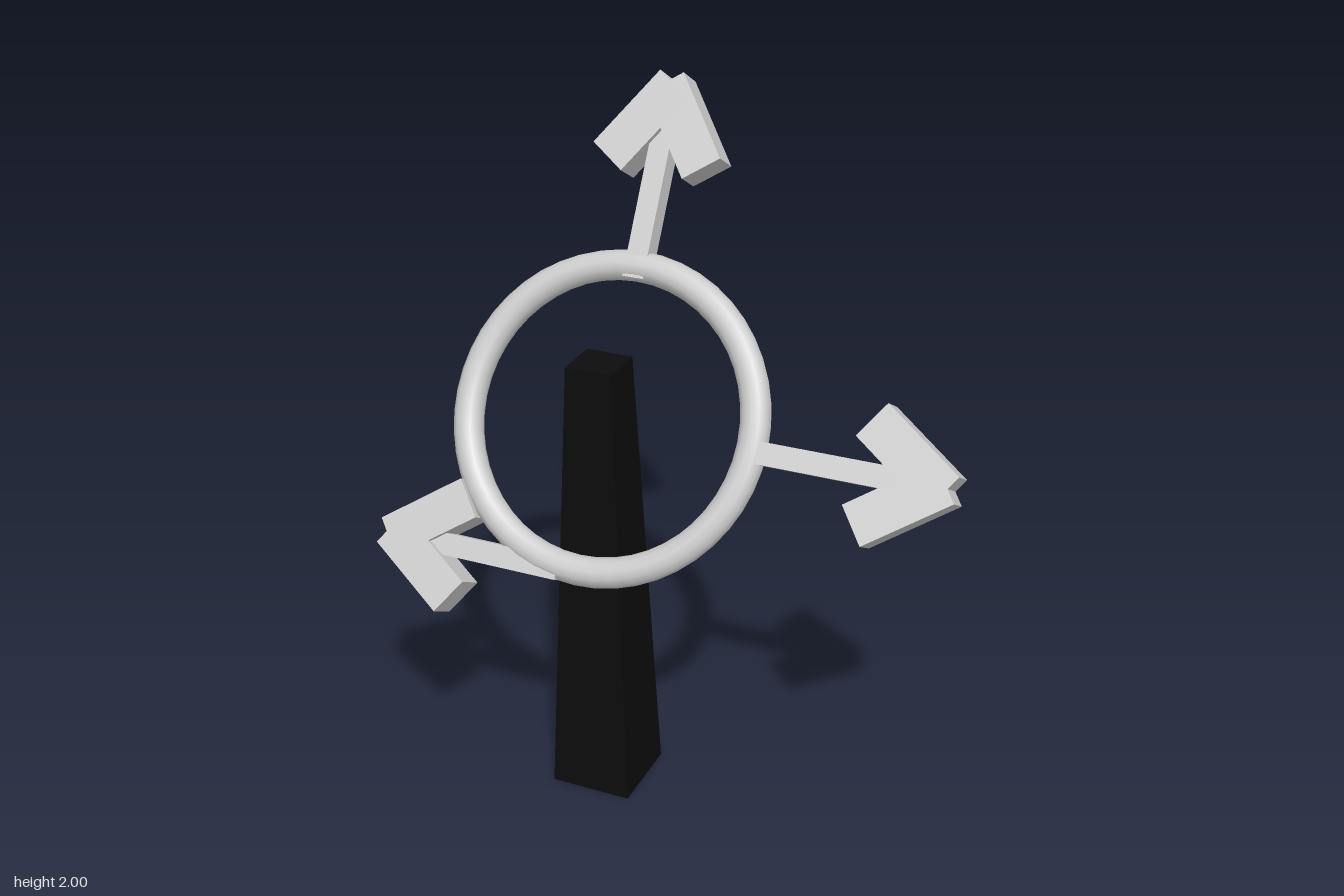
import * as THREE from 'three';

const grey = new THREE.MeshStandardMaterial({ color: 0xcccccc });
const black = new THREE.MeshStandardMaterial({ color: 0x0c0c0c, flatShading: true });

function addMesh(parent, name, geometry, material) {
  const mesh = new THREE.Mesh(geometry, material);
  mesh.name = name;
  parent.add(mesh);
  return mesh;
}

// Arrow along local +x: a square shaft and two bars that cross at the tip
function createArrow(name, start, tip) {
  const arrow = new THREE.Group();
  arrow.name = name;
  const shaftEnd = tip - 0.13;
  addMesh(arrow, 'shaft', new THREE.BoxGeometry(shaftEnd - start, 0.062, 0.062), grey)
    .position.x = (start + shaftEnd) / 2;

  const angle = THREE.MathUtils.degToRad(35);
  const length = 0.27, width = 0.12, depth = 0.095, overlap = 0.035;
  const c = Math.cos(angle), s = Math.sin(angle);
  for (const side of [1, -1]) {
    const bar = addMesh(arrow, side > 0 ? 'upperBar' : 'lowerBar',
      new THREE.BoxGeometry(length, width, depth), grey);
    bar.position.set(
      tip - (c * length + s * width) / 2,
      side * (overlap + (s * length - c * width) / 2), 0);
    bar.rotation.z = -side * angle;
  }
  return arrow;
}

export function createModel() {
  const model = new THREE.Group();
  model.name = 'ringOnTower';

  // Tapered square tower
  const height = 1.33;
  const towerGeometry = new THREE.CylinderGeometry(
    0.068 * Math.SQRT2, 0.12 * Math.SQRT2, height, 4).rotateY(Math.PI / 4);
  addMesh(model, 'tower', towerGeometry, black).position.set(-0.2, height / 2, 0.132);

  // Ring and arrows share one plane that leans back
  const dial = new THREE.Group();
  dial.name = 'tiltedDial';
  dial.position.set(-0.2, 1.14, 0.08);
  dial.rotation.x = -Math.PI / 6;
  model.add(dial);

  addMesh(dial, 'ring', new THREE.TorusGeometry(0.427, 0.043, 12, 48), grey);

  const upArrow = createArrow('upArrow', 0.39, 0.965);
  upArrow.rotation.z = Math.PI / 2;

  const leftArrow = createArrow('leftArrow', 0.43, 1.005);
  leftArrow.position.y = -0.017;

  const rightArrow = createArrow('rightArrow', 0.05, 0.605);
  rightArrow.rotation.z = Math.PI;
  rightArrow.position.y = -0.435;

  dial.add(upArrow, leftArrow, rightArrow);
  return model;
}
